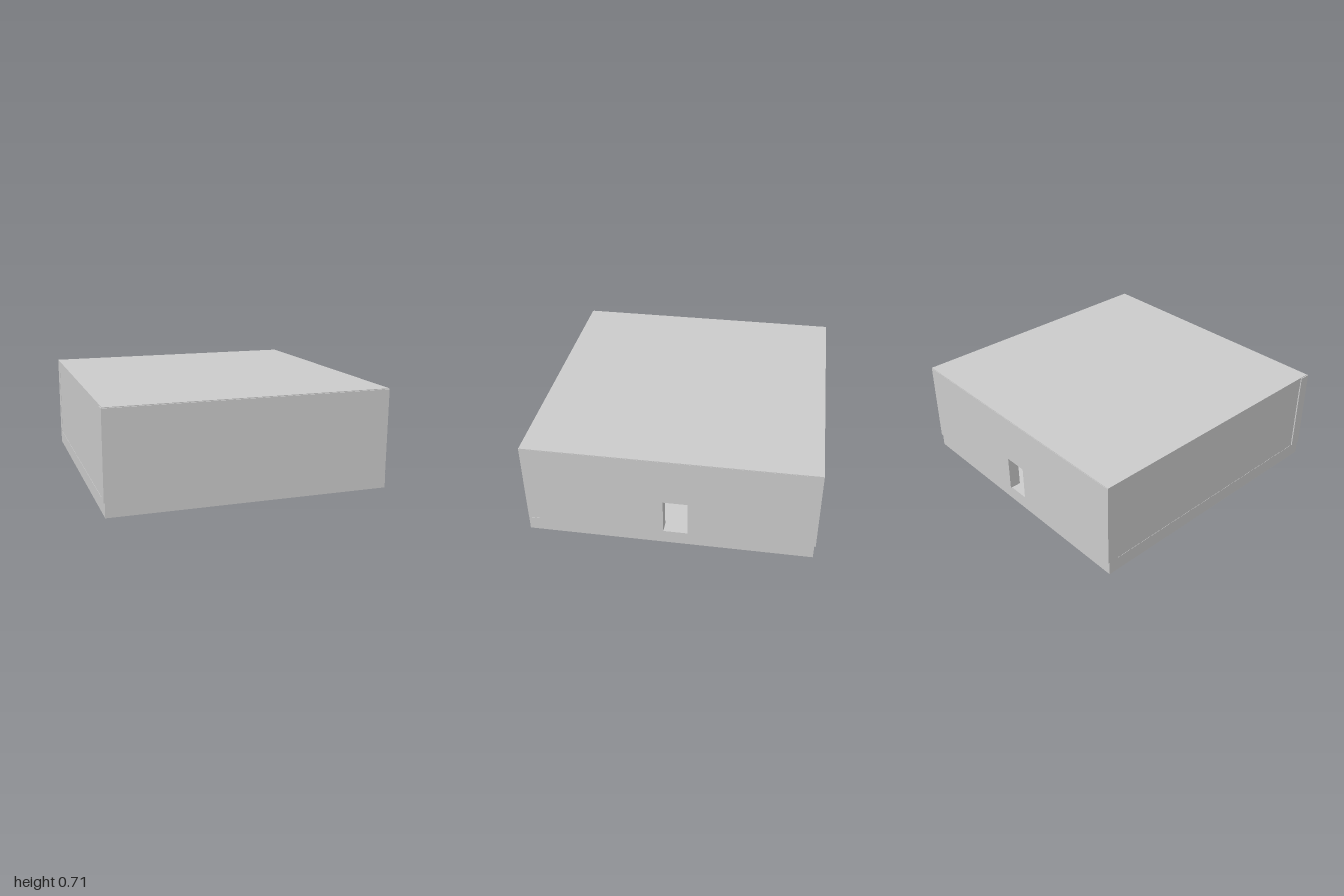
import * as THREE from 'three';

const material = new THREE.MeshStandardMaterial({ color: 0xcccccc, flatShading: true });
const WALL = 0.08, SILL = 0.1, TOP = 0.702, DOOR_TOP = 0.36;

// Box given by its lower and upper corners
function slab(name, [x0, y0, z0], [x1, y1, z1]) {
  const geometry = new THREE.BoxGeometry(x1 - x0, y1 - y0, z1 - z0);
  geometry.translate((x0 + x1) / 2, (y0 + y1) / 2, (z0 + z1) / 2);
  const mesh = new THREE.Mesh(geometry, material);
  mesh.name = name;
  return mesh;
}

// Upright wall from a to b along x, with a doorway notched into its lower edge
function doorWall(name, a, b, doorA, doorB) {
  const outline = [
    [a, SILL], [doorA, SILL], [doorA, DOOR_TOP], [doorB, DOOR_TOP],
    [doorB, SILL], [b, SILL], [b, TOP], [a, TOP],
  ].map(([x, y]) => new THREE.Vector2(x, y));
  const geometry = new THREE.ExtrudeGeometry(new THREE.Shape(outline), { depth: WALL, bevelEnabled: false });
  const mesh = new THREE.Mesh(geometry, material);
  mesh.name = name;
  return mesh;
}

export function createModel() {
  const room = new THREE.Group();
  room.name = 'room';

  // Floor and ceiling slabs
  room.add(slab('floor', [-0.99, 0, -0.99], [0.99, SILL, 0.998]));
  room.add(slab('roof', [-0.99, 0.61, -0.998], [0.99, 0.707, 0.99]));

  // Plain walls; the front one stands a little proud at its end
  room.add(slab('frontWall', [-0.997, SILL, 0.92], [0.987, TOP, 1]));
  room.add(slab('leftSideWall', [-0.988, SILL, -0.92], [-0.908, TOP, 0.92]));

  // Back wall with a doorway, slightly overhanging the floor
  const backWall = doorWall('backWall', -0.99, 0.99, -0.11, 0.06);
  backWall.position.z = -1;
  room.add(backWall);

  // Side wall with a doorway, turned so its length runs along z
  const sideWall = doorWall('doorSideWall', -0.92, 0.92, -0.04, 0.13);
  sideWall.rotation.y = Math.PI / 2;
  sideWall.position.x = 0.991 - WALL;
  room.add(sideWall);

  return room;
}
